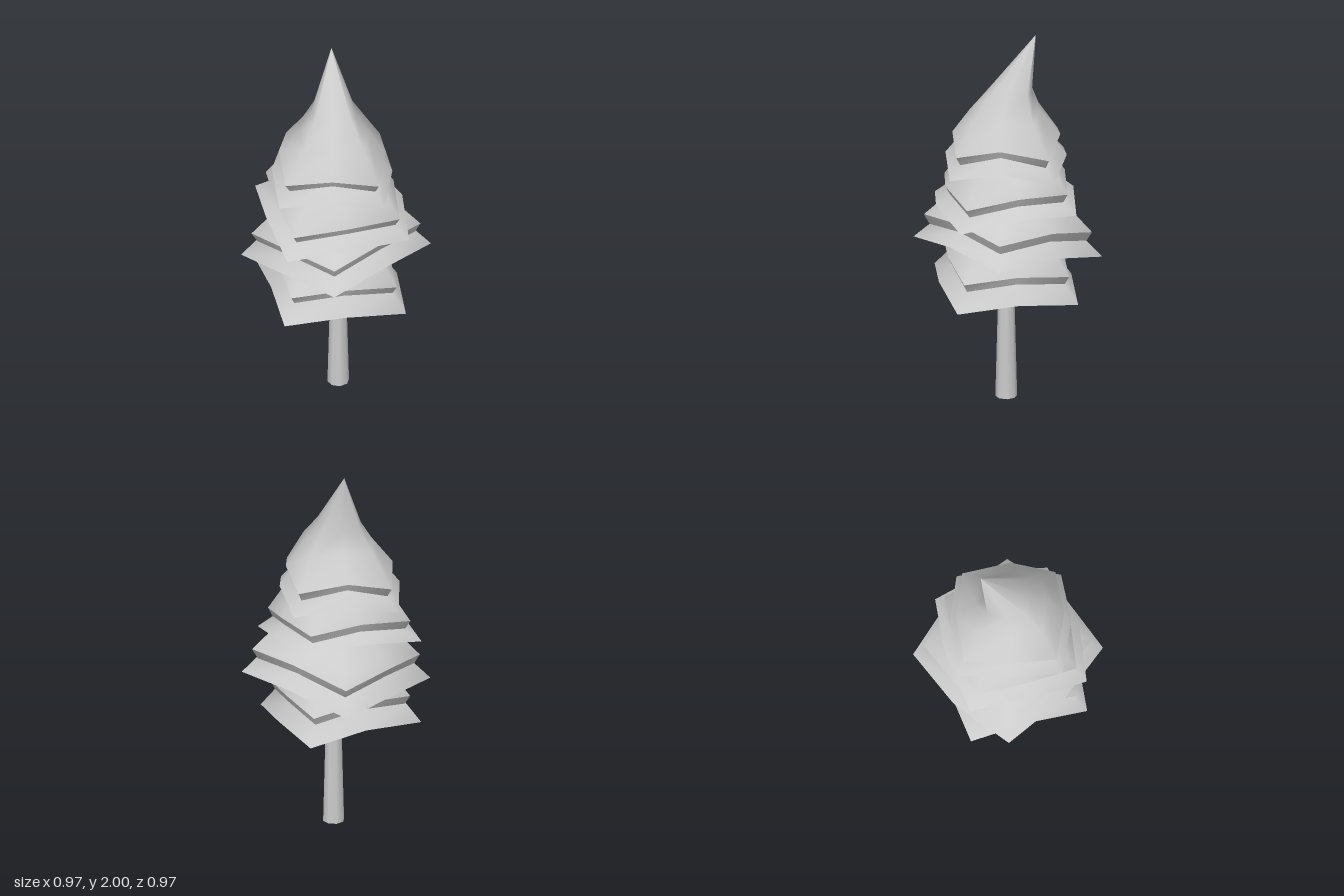
import * as THREE from 'three';

// Rings hold eight points: side middles (even) alternate with corners (odd).
// Each ring of a tier: [scale, height, lift of the middles, centre x, centre z]
const tiers = [
  {
    name: 'bottomTier', tilt: [-0.06, 0],
    rim: [[0.325, -0.03], [0.32, 0.29], [-0.01, 0.36], [-0.33, 0.355], [-0.35, 0.05], [-0.38, -0.27], [-0.06, -0.335], [0.245, -0.345]],
    rings: [[1, 0.597, 0.04], [0.81, 0.695, 0.035], [0.87, 0.74, 0.035], [0.67, 0.855, 0.02], [0.45, 0.93, 0]],
  },
  {
    name: 'lowerTier', tilt: [0.07, 0.09],
    rim: [[0.33, -0.235], [0.485, 0.09], [0.23, 0.325], [-0.09, 0.485], [-0.33, 0.235], [-0.485, -0.09], [-0.23, -0.335], [0.09, -0.485]],
    rings: [[1, 0.825, 0.05], [0.83, 0.905, 0.045], [0.89, 0.955, 0.045], [0.74, 1.03, 0.03], [0.5, 1.12, 0]],
  },
  {
    name: 'upperTier', tilt: [0, -0.09],
    rim: [[0.355, -0.04], [0.34, 0.275], [0, 0.375], [-0.315, 0.355], [-0.375, 0.04], [-0.38, -0.275], [-0.055, -0.345], [0.26, -0.335]],
    rings: [[1, 1.055, 0.045], [0.81, 1.12, 0.035], [0.87, 1.165, 0.035], [0.71, 1.27, 0.02], [0.5, 1.35, 0]],
  },
  {
    name: 'crown', tilt: [0, 0],
    rim: [[0.285, 0.07], [0.2, 0.32], [-0.075, 0.32], [-0.335, 0.225], [-0.33, -0.05], [-0.245, -0.31], [0.02, -0.305], [0.295, -0.215]],
    rings: [[1, 1.275, 0.06], [0.82, 1.35, 0.06], [0.89, 1.395, 0.055], [0.58, 1.57, 0.01, 0, 0.01], [0.36, 1.69, 0, -0.005, -0.015], [0, 2, 0, 0, -0.145]],
  },
];

// Smooth band through rings, from the lower to the upper one
function loft(rings) {
  const n = rings[0].length, index = [];
  for (let r = 0; r < rings.length - 1; r++) {
    for (let i = 0; i < n; i++) {
      const j = (i + 1) % n, a = r * n, b = a + n;
      index.push(a + i, b + i, a + j, a + j, b + i, b + j);
    }
  }
  const geometry = new THREE.BufferGeometry();
  geometry.setAttribute('position', new THREE.Float32BufferAttribute(rings.flat(2), 3));
  geometry.setIndex(index);
  geometry.computeVertexNormals();
  return geometry;
}

export function createModel() {
  const material = new THREE.MeshStandardMaterial({ color: 0xcccccc, side: THREE.DoubleSide });
  material.name = 'plain grey';
  const model = new THREE.Group();
  model.name = 'tree';

  const add = (parent, name, geometry) => {
    const mesh = new THREE.Mesh(geometry, material);
    mesh.name = name;
    parent.add(mesh);
    return mesh;
  };

  // Tapered open trunk
  const trunk = add(model, 'trunk', new THREE.CylinderGeometry(0.04, 0.057, 0.66, 8, 1, true));
  trunk.position.set(0.01, 0.33, 0.01);

  // Foliage tiers, each a flared skirt beneath an overhanging cap
  for (const { name, tilt, rim, rings } of tiers) {
    const group = new THREE.Group();
    group.name = name;
    model.add(group);
    const ring = ([s, y, lift, cx = 0, cz = 0]) => rim.map(([x, z], i) => [
      x * s + cx,
      y + (x * tilt[0] + z * tilt[1]) * s + (i % 2 ? 0 : lift),
      z * s + cz,
    ]);
    const [edge, neck, lip, ...upper] = rings.map(ring);
    const centre = ring([0, rings[0][1] + rings[0][2] * 0.6, 0]);
    add(group, 'underside', loft([centre, edge]));
    add(group, 'skirt', loft([edge, neck]));
    add(group, 'overhang', loft([neck, lip]));
    add(group, 'cap', loft([lip, ...upper]));
  }
  return model;
}
